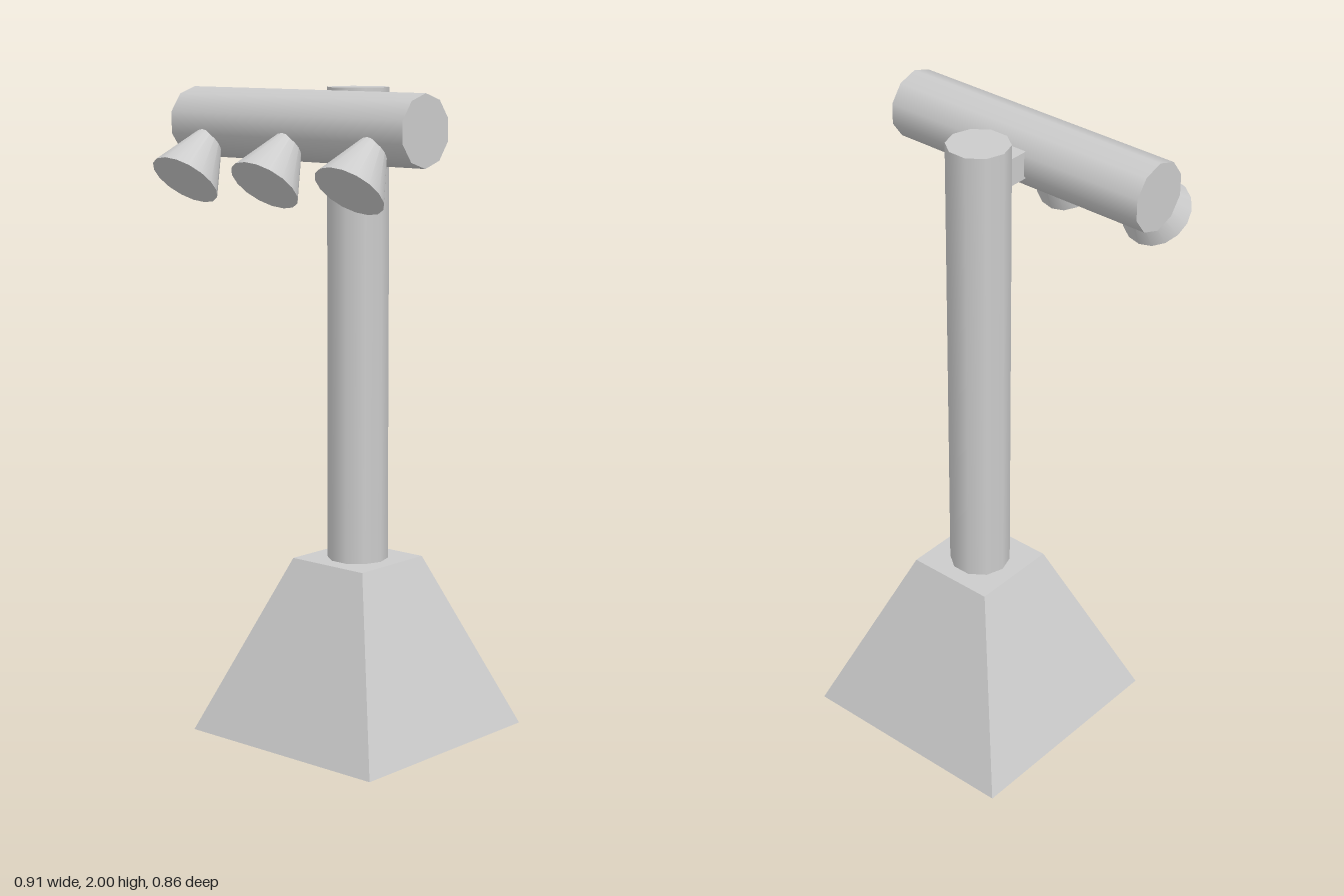
import * as THREE from 'three';

export function createModel() {
  const model = new THREE.Group();
  const smooth = new THREE.MeshStandardMaterial({ color: 0xcccccc });
  const flat = new THREE.MeshStandardMaterial({ color: 0xcccccc, flatShading: true });

  const add = (name, geometry, material, x, y, z) => {
    const mesh = new THREE.Mesh(geometry, material);
    mesh.name = name;
    mesh.position.set(x, y, z);
    model.add(mesh);
    return mesh;
  };

  const cx = -0.003, cz = -0.066; // axis of base and pole

  // Square tapered base
  const baseH = 0.55;
  add('base', new THREE.CylinderGeometry(0.142 * Math.SQRT2, 0.364 * Math.SQRT2, baseH, 4, 1, false, Math.PI / 4),
    flat, cx, baseH / 2, cz);

  // Ten-sided pole, with corners on the x axis
  const poleH = 2 - baseH;
  add('pole', new THREE.CylinderGeometry(0.094, 0.094, poleH, 10, 1, false, Math.PI / 2),
    smooth, cx, baseH + poleH / 2, cz);

  // Bracket joining pole and crossbar
  add('bracket', new THREE.BoxGeometry(0.1, 0.085, 0.1), flat, cx, 1.893, 0.04);

  // Horizontal ten-sided crossbar
  const bar = new THREE.CylinderGeometry(0.105, 0.105, 0.91, 10, 1, false, Math.PI / 2).rotateZ(Math.PI / 2);
  add('crossbar', bar, smooth, 0, 1.893, 0.174);

  // Three lamp cones tilted forward and down, tips inside the crossbar
  const coneH = 0.26, tilt = -0.72;
  const cone = new THREE.ConeGeometry(0.108, coneH, 16).translate(0, coneH / 2, 0).rotateX(tilt);
  ['rightLamp', 'middleLamp', 'leftLamp'].forEach((name, i) =>
    add(name, cone, smooth, (i - 1) * 0.325, 1.729, 0.348));

  return model;
}
